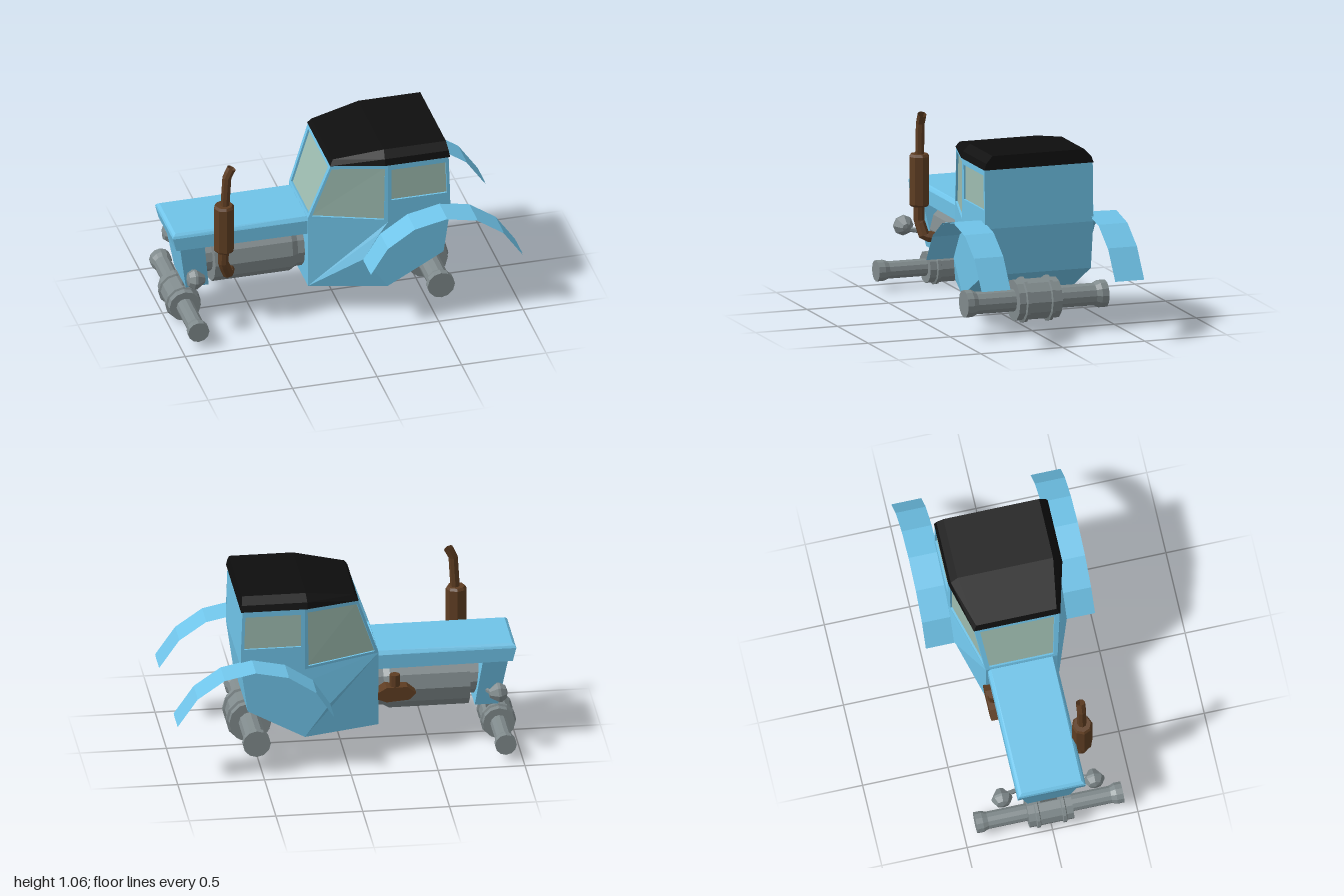
import * as THREE from 'three';
import { ConvexGeometry } from 'three/addons/geometries/ConvexGeometry.js';

const mat = (color) => new THREE.MeshStandardMaterial({ color, flatShading: true, side: THREE.DoubleSide });
const V = (p) => new THREE.Vector3(...p);
const mirrorPoly = (pts) => pts.map(([x, y, z]) => [x, y, -z]).reverse();

// Flat polygons, each fanned from its first corner
function fans(polys) {
  const pos = [];
  for (const p of polys)
    for (let i = 1; i < p.length - 1; i++) pos.push(...p[0], ...p[i], ...p[i + 1]);
  const g = new THREE.BufferGeometry();
  g.setAttribute('position', new THREE.Float32BufferAttribute(pos, 3));
  g.computeVertexNormals();
  return g;
}

// Convex block from half its points, mirrored across z
const block = (half) => new ConvexGeometry(half.flatMap(([x, y, z]) => [V([x, y, z]), V([x, y, -z])]));

// Four-cornered panel with a recessed window: [frame polygons, glass polygon]
function windowPanel(quad, [u0, u1, v0, v1], depth) {
  const q = quad.map(V);
  const at = (u, v) => q[0].clone().lerp(q[1], u).lerp(q[3].clone().lerp(q[2], u), v);
  const n = q[1].clone().sub(q[0]).cross(q[3].clone().sub(q[0])).normalize();
  const hole = [at(u0, v0), at(u1, v0), at(u1, v1), at(u0, v1)];
  const glass = hole.map((p) => p.clone().addScaledVector(n, -depth).toArray());
  const rim = hole.map((p) => p.toArray());
  const frame = [];
  for (let i = 0; i < 4; i++) {
    const j = (i + 1) % 4;
    frame.push([quad[i], quad[j], rim[j], rim[i]], [rim[i], rim[j], glass[j], glass[i]]);
  }
  return [frame, glass];
}

// Straight faceted pipes through a list of points
function pipe(points, radius, sides = 8) {
  const path = new THREE.CurvePath();
  for (let i = 0; i < points.length - 1; i++) path.add(new THREE.LineCurve3(V(points[i]), V(points[i + 1])));
  return new THREE.TubeGeometry(path, (points.length - 1) * 4, radius, sides, false);
}

const lathe = (profile, sides) => new THREE.LatheGeometry(profile.map(([r, h]) => new THREE.Vector2(r, h)), sides);

export function createModel() {
  const model = new THREE.Group();
  const blue = mat(0x6fc3e8), black = mat(0x0e0e0e), grey = mat(0x808a8c), brown = mat(0x5e3d22), tint = mat(0x9dbcb0);
  const add = (name, geometry, material, x = 0, y = 0, z = 0) => {
    const m = new THREE.Mesh(geometry, material);
    m.name = name;
    m.position.set(x, y, z);
    model.add(m);
    return m;
  };

  // Cab: side panels, windows and the skin around the profile
  const F0 = [-0.195, 0.18, 0.21], F1 = [-0.195, 0.63, 0.21], F2 = [-0.07, 0.985, 0.25];
  const G0 = [0.245, 0.18, 0.33], G1 = [0.1, 0.38, 0.33], G2 = [0.2, 0.54, 0.33];
  const B = [0.245, 0.605, 0.33], M = [0.245, 0.73, 0.33], T = [0.245, 0.985, 0.33];
  const R0 = [0.575, 0.36, 0.33], R1 = [0.615, 0.64, 0.33], R2 = [0.614, 0.73, 0.33], R3 = [0.605, 0.985, 0.33];
  const shell = [], glass = [];
  const sidePolys = [[F0, G0, G1, G2, B, F1], [R0, R1, R2, M, B, G2, G1, G0]];
  for (const [quad, inset] of [[[F1, B, T, F2], [0.04, 0.95, 0.04, 0.93]], [[M, R2, R3, T], [0.06, 0.95, 0.07, 0.86]]]) {
    const [frame, pane] = windowPanel(quad, inset, 0.012);
    sidePolys.push(...frame);
    glass.push(pane, mirrorPoly(pane));
  }
  shell.push(...sidePolys, ...sidePolys.map(mirrorPoly));
  const flip = ([x, y, z]) => [x, y, -z];
  const [screenFrame, screen] = windowPanel([flip(F1), F1, F2, flip(F2)], [0.06, 0.94, 0.05, 0.93], 0.012);
  shell.push(...screenFrame);
  glass.push(screen);
  const profile = [F1, F0, G0, R0, R1, R3];
  for (let i = 0; i < profile.length - 1; i++) {
    const a = profile[i], b = profile[i + 1];
    shell.push([a, flip(a), flip(b), b]);
  }
  add('cab', fans(shell), blue);
  add('windows', fans(glass), tint);

  // Roof
  add('roof', block([
    [-0.075, 0.983, 0.253], [0.23, 0.983, 0.333], [0.613, 0.983, 0.333],
    [-0.055, 1.015, 0.235], [0.23, 1.02, 0.32], [0.608, 1.02, 0.32],
    [0.235, 1.062, 0.28], [0.602, 1.062, 0.28],
  ]), black);

  // Hood with chamfered top edges and raked front
  add('hood', block([
    [-0.97, 0.525, 0.197], [-0.19, 0.52, 0.197], [-0.99, 0.605, 0.197], [-0.19, 0.605, 0.197],
    [-0.985, 0.618, 0.19], [-0.97, 0.63, 0.175], [-0.19, 0.628, 0.18],
  ]), blue);

  // Nose, narrowing downward
  add('nose', block([
    [-0.945, 0.53, 0.185], [-0.8, 0.53, 0.185], [-0.895, 0.23, 0.125], [-0.76, 0.23, 0.125],
  ]), blue);

  // Engine
  add('engine', lathe([
    [0, 0], [0.105, 0], [0.105, 0.07], [0.165, 0.07], [0.165, 0.53], [0.145, 0.565], [0.145, 0.62], [0, 0.62],
  ], 12), grey, -0.8, 0.365, 0).rotation.z = -Math.PI / 2;

  // Axles: hub, two rings and flared ends
  const half = [
    [1, 0.13], [0.55, 0.13], [0.55, 0.36], [0.67, 0.39], [0.67, 0.43], [0, 0.43],
  ];
  const axleProfile = [
    ...half.map(([r, h]) => [r, -h]).reverse(),
    [1, -0.09], [1.12, -0.085], [1.12, -0.068], [1, -0.063],
    [1, 0.063], [1.12, 0.068], [1.12, 0.085], [1, 0.09],
    ...half,
  ];
  for (const [name, x, y, r] of [['frontAxle', -0.9, 0.107, 0.093], ['rearAxle', 0.535, 0.197, 0.12]]) {
    const g = lathe(axleProfile.map(([a, h]) => [a * r, h]), 12);
    add(name, g, grey, x, y, 0).rotation.x = Math.PI / 2;
  }
  add('axleBracket', new THREE.BoxGeometry(0.06, 0.1, 0.1), grey, -0.865, 0.21, 0);

  // Fenders and headlights on both sides
  const arc = [[0.1, 0.38], [0.2, 0.535], [0.36, 0.64], [0.55, 0.68], [0.73, 0.642], [0.885, 0.535], [1, 0.37]];
  for (const s of [1, -1]) {
    const strip = [];
    for (let i = 0; i < arc.length - 1; i++) {
      const [a, b] = [arc[i], arc[i + 1]];
      for (const d of [0, 0.008])
        strip.push([[...b, s * 0.32], [a[0], a[1] - d, s * 0.32], [a[0], a[1] - d, s * 0.495], [b[0], b[1] - d, s * 0.495]]
          .map(([x, y, z], k) => [x, k === 0 ? y - d : y, z]));
    }
    add(s > 0 ? 'leftSideFender' : 'rightSideFender', fans(strip), blue);
    add('headlight', lathe([[0, -0.055], [0.025, -0.05], [0.06, 0], [0.06, 0.015], [0.04, 0.045], [0, 0.055]], 8),
      grey, -0.875, 0.365, s * 0.27).rotation.z = Math.PI / 2 - 0.1;
    add('headlightArm', pipe([[-0.86, 0.35, s * 0.27], [-0.83, 0.325, s * 0.14]], 0.014, 6), grey);
  }

  // Exhaust: elbow, muffler and bent stack
  add('exhaustElbow', pipe([[-0.64, 0.33, 0.13], [-0.67, 0.34, 0.22], [-0.705, 0.43, 0.24], [-0.703, 0.53, 0.24]], 0.032), brown);
  add('muffler', lathe([[0, 0], [0.05, 0], [0.06, 0.012], [0.06, 0.29], [0.05, 0.305], [0, 0.305]], 8), brown, -0.7, 0.512, 0.24);
  add('exhaustStack', pipe([[-0.695, 0.8, 0.24], [-0.683, 1.0, 0.24], [-0.655, 1.055, 0.24]], 0.027), brown);

  // Intake on the other side of the engine
  const intake = new THREE.Shape([[-0.41, 0.37], [-0.36, 0.41], [-0.24, 0.41], [-0.19, 0.38], [-0.19, 0.34], [-0.24, 0.32], [-0.37, 0.33]]
    .map((p) => new THREE.Vector2(...p)));
  add('intakeBody', new THREE.ExtrudeGeometry(intake, { depth: 0.1, bevelEnabled: false }), brown, 0, 0, -0.225);
  add('intakePipe', new THREE.CylinderGeometry(0.03, 0.03, 0.08, 8), brown, -0.29, 0.44, -0.192);

  return model;
}
